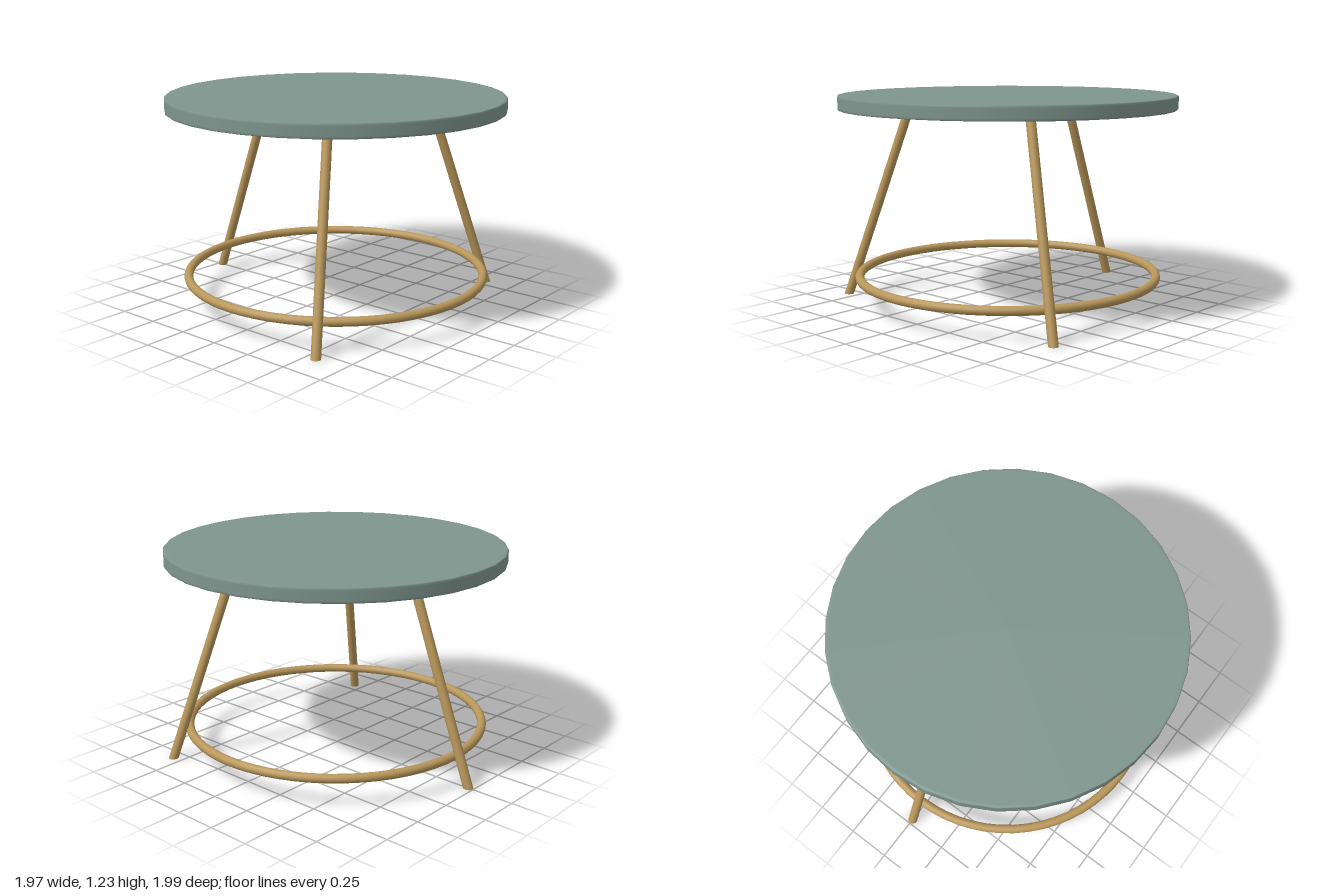
import * as THREE from 'three';

const CENTER_Z = 0.012;
const TOP_R = 0.985;
const UNDERSIDE = 1.15;
const TOP_Y = 1.23;

// Round leg whose ends are cut level with the floor and the tabletop.
function legGeometry(foot, head, radius) {
  const axis = head.clone().sub(foot);
  const dir = axis.clone().normalize();
  const geo = new THREE.CylinderGeometry(radius, radius, axis.length(), 20);
  const upper = Array.from({ length: geo.attributes.position.count },
    (_, i) => geo.attributes.position.getY(i) > 0);
  geo.applyQuaternion(new THREE.Quaternion().setFromUnitVectors(new THREE.Vector3(0, 1, 0), dir));
  const mid = foot.clone().add(head).multiplyScalar(0.5);
  geo.translate(mid.x, mid.y, mid.z);

  // Slide each end vertex along the axis onto its horizontal cutting plane.
  const pos = geo.attributes.position;
  const p = new THREE.Vector3();
  upper.forEach((isUpper, i) => {
    p.fromBufferAttribute(pos, i);
    p.addScaledVector(dir, ((isUpper ? head.y : foot.y) - p.y) / dir.y);
    pos.setXYZ(i, p.x, p.y, p.z);
  });

  // Level normals on the two end caps, which follow the 2 x 21 side vertices.
  for (let i = 42; i < pos.count; i++) geo.attributes.normal.setXYZ(i, 0, upper[i] ? 1 : -1, 0);
  return geo;
}

export function createModel() {
  const green = new THREE.MeshStandardMaterial({ color: 0x7f958e });
  green.name = 'sage green';
  const brass = new THREE.MeshStandardMaterial({ color: 0xb9975a });
  brass.name = 'brass';

  const table = new THREE.Group();
  table.name = 'roundTable';
  const add = (name, geometry, material) => {
    const mesh = new THREE.Mesh(geometry, material);
    mesh.name = name;
    table.add(mesh);
    return mesh;
  };

  // Tabletop disc with a finely eased edge
  const profile = [
    [0, UNDERSIDE], [TOP_R - 0.02, UNDERSIDE], [TOP_R - 0.004, UNDERSIDE],
    [TOP_R, UNDERSIDE + 0.004], [TOP_R, UNDERSIDE + 0.015],
    [TOP_R, TOP_Y - 0.015], [TOP_R, TOP_Y - 0.004],
    [TOP_R - 0.004, TOP_Y], [TOP_R - 0.02, TOP_Y], [0, TOP_Y],
  ].map(([x, y]) => new THREE.Vector2(x, y));
  add('tabletop', new THREE.LatheGeometry(profile, 32), green).position.z = CENTER_Z;

  // Three splayed legs: foot x, foot z, head x, head z
  const legs = {
    leftFrontLeg: [0.818, 0.562, 0.472, 0.352],
    rightFrontLeg: [-0.818, 0.562, -0.472, 0.352],
    backLeg: [0, -0.968, 0, -0.538],
  };
  for (const [name, [fx, fz, hx, hz]] of Object.entries(legs)) {
    const foot = new THREE.Vector3(fx, 0, fz);
    const head = new THREE.Vector3(hx, UNDERSIDE + 0.005, hz);
    add(name, legGeometry(foot, head, 0.0275), brass);
  }

  // Ring stretcher joining the legs
  const ring = add('ringStretcher', new THREE.TorusGeometry(0.878, 0.026, 14, 64), brass);
  ring.rotation.x = Math.PI / 2;
  ring.position.set(0, 0.165, CENTER_Z);

  return table;
}
